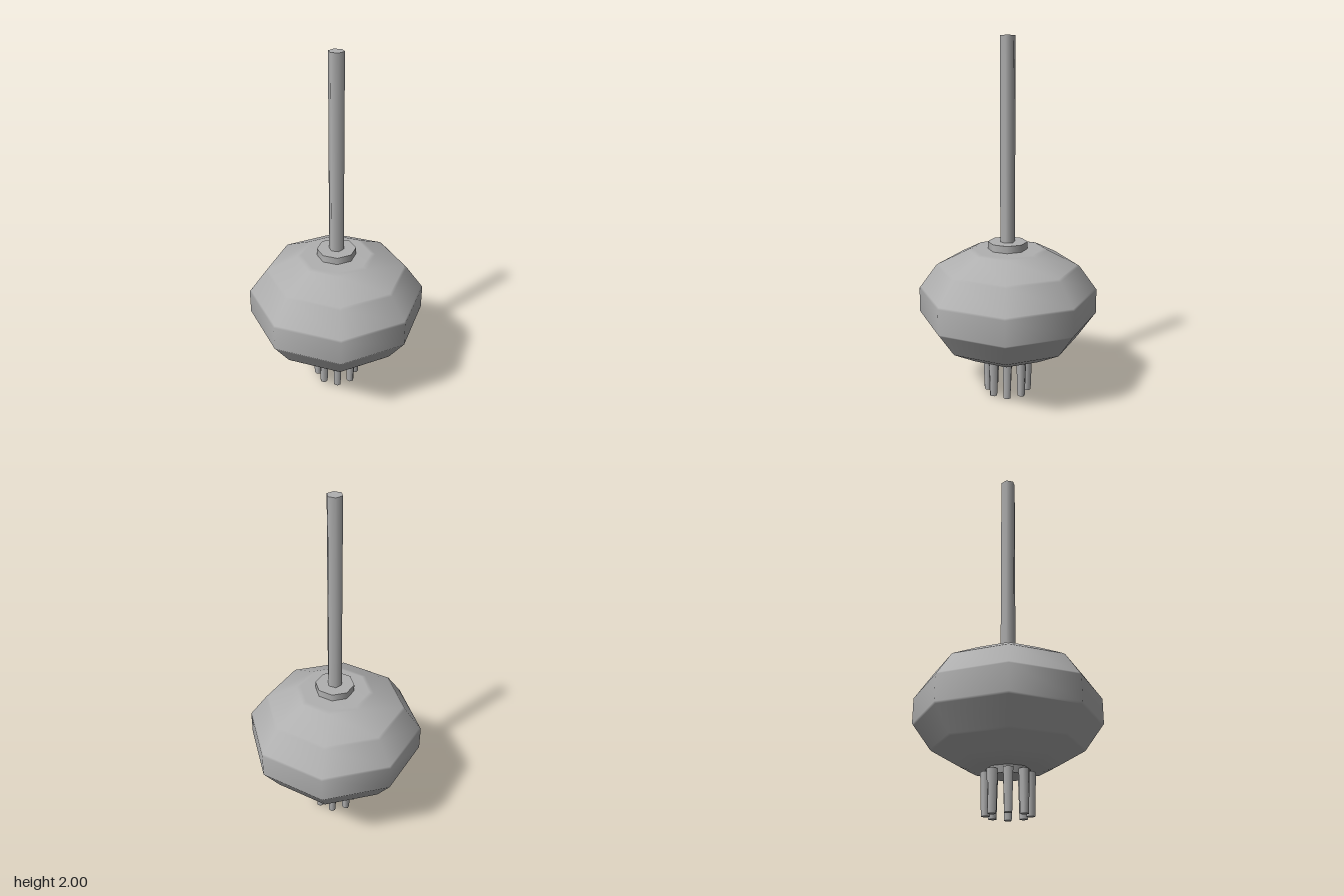
import * as THREE from 'three';

export function createModel() {
  const model = new THREE.Group();
  const grey = new THREE.MeshStandardMaterial({ color: 0xb0b0b0 });
  grey.name = 'plain grey';

  function add(name, geometry, y = 0, parent = model) {
    const mesh = new THREE.Mesh(geometry, grey);
    mesh.name = name;
    mesh.position.y = y;
    parent.add(mesh);
    return mesh;
  }

  // Eight-sided bulb with a small lip at every change of slope
  const profile = [
    [0, 0.235], [0.2, 0.235], [0.235, 0.243], [0.25, 0.25],
    [0.392, 0.329], [0.402, 0.339], [0.492, 0.465], [0.5, 0.475],
    [0.5, 0.615], [0.492, 0.625], [0.402, 0.75], [0.388, 0.76],
    [0.222, 0.843], [0.195, 0.85], [0, 0.85],
  ].map(([r, y]) => new THREE.Vector2(r, y));
  add('bulb', new THREE.LatheGeometry(profile, 8));

  // Collar and hanging rod
  add('collar', new THREE.CylinderGeometry(0.11, 0.11, 0.045, 8), 0.868);
  add('rod', new THREE.CylinderGeometry(0.042, 0.042, 1.12, 6), 1.44);

  // Socket ring under the bulb
  add('socketRing', new THREE.CylinderGeometry(0.115, 0.105, 0.04, 8), 0.218);

  // Eight tapering prongs in a circle
  const prongs = new THREE.Group();
  prongs.name = 'prongs';
  model.add(prongs);
  const prongGeometry = new THREE.CylinderGeometry(0.029, 0.022, 0.22, 6);
  for (let i = 0; i < 8; i++) {
    const a = (i * Math.PI) / 4;
    const prong = add('prong', prongGeometry, 0.11, prongs);
    prong.position.x = 0.112 * Math.sin(a);
    prong.position.z = 0.112 * Math.cos(a);
    prong.rotation.y = a;
  }
  return model;
}
